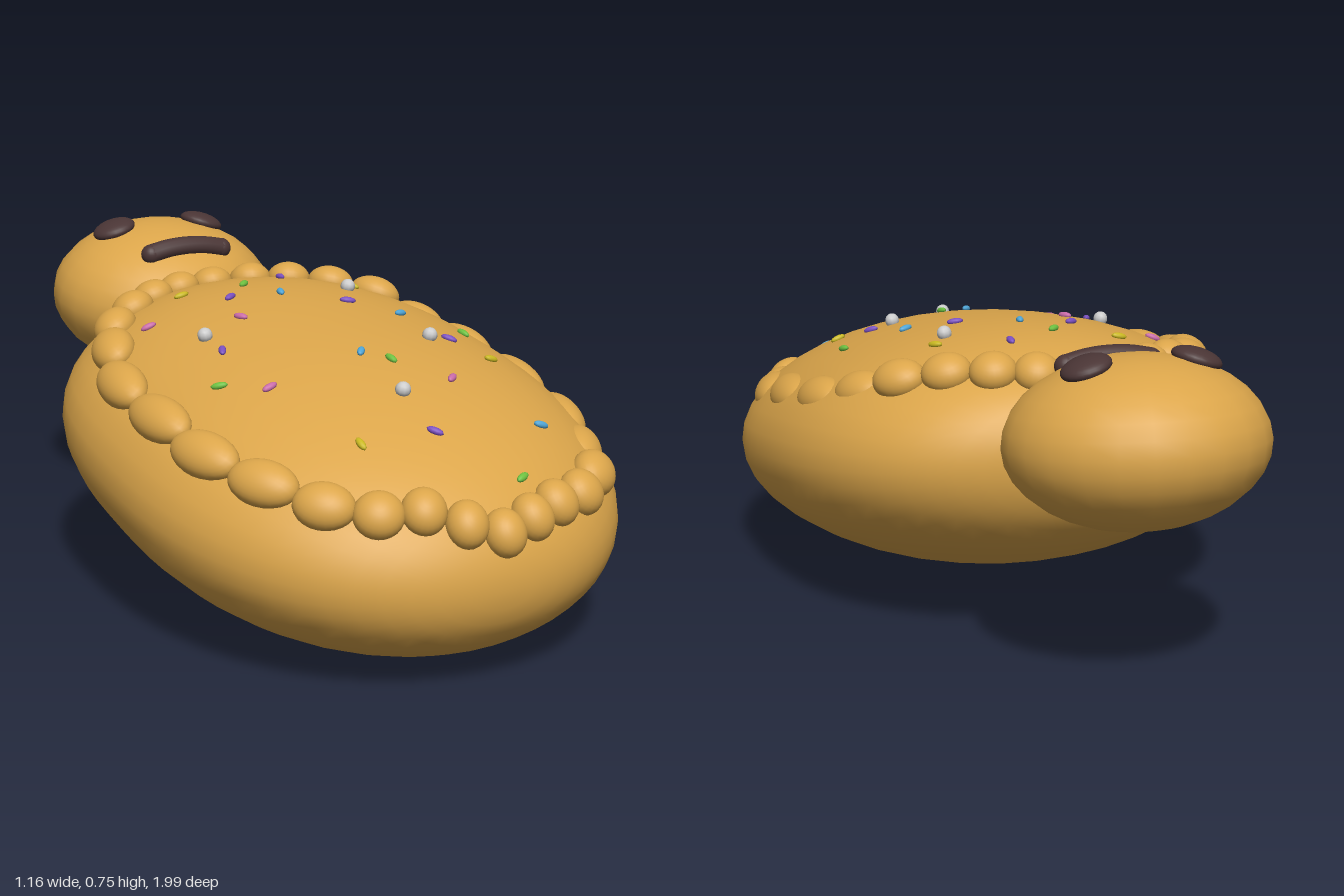
import * as THREE from 'three';
import { mergeVertices } from 'three/addons/utils/BufferGeometryUtils.js';

const mat = (color) => new THREE.MeshStandardMaterial({ color });
const dough = mat(0xdba54a);
const icing = mat(0x4a3535);

// Body: elliptical slices along a sloping z axis, with a full, rounded length profile
const BODY = { z: 0.237, y: 0.335, length: 0.737, width: 0.58, height: 0.31, slope: -0.145 };
const fullness = (t) => {
  const n = t > 0 ? 2.25 : 2.55;
  return Math.pow(Math.max(0, 1 - Math.pow(Math.abs(t), n)), 1 / n);
};
const midY = (z) => BODY.y + BODY.slope * (z - BODY.z);

// Height of the upper body surface, and its normal
function topY(x, z) {
  const f = fullness((z - BODY.z) / BODY.length);
  const s = x / BODY.width;
  return midY(z) + BODY.height * Math.sqrt(Math.max(0, f * f - s * s));
}
function topNormal(x, z) {
  const e = 0.004;
  return new THREE.Vector3(
    (topY(x - e, z) - topY(x + e, z)) / (2 * e), 1,
    (topY(x, z - e) - topY(x, z + e)) / (2 * e)).normalize();
}

// Sets a mesh on the upper surface, its x axis along the given direction
function placeOnBody(mesh, x, z, dirX, dirZ, lift) {
  const n = topNormal(x, z);
  const side = new THREE.Vector3(dirX, 0, dirZ).cross(n).normalize();
  const along = n.clone().cross(side).normalize();
  mesh.quaternion.setFromRotationMatrix(new THREE.Matrix4().makeBasis(along, n, side));
  mesh.position.set(x, topY(x, z), z).addScaledVector(n, lift);
}

function bodyGeometry() {
  let g = new THREE.SphereGeometry(1, 40, 32).rotateX(Math.PI / 2);
  const p = g.attributes.position;
  for (let i = 0; i < p.count; i++) {
    const x = p.getX(i), y = p.getY(i), t = p.getZ(i);
    const r = Math.hypot(x, y);
    const k = r > 1e-5 ? fullness(t) / r : 0;
    const z = BODY.z + BODY.length * t;
    p.setXYZ(i, x * k * BODY.width, midY(z) + y * k * BODY.height, z);
  }
  g.deleteAttribute('uv');
  g.deleteAttribute('normal');
  g = mergeVertices(g, 1e-5);
  g.computeVertexNormals();
  return g;
}

export function createModel() {
  const model = new THREE.Group();
  const ball = new THREE.SphereGeometry(1, 24, 16);
  const add = (parent, name, geometry, material) => {
    const mesh = new THREE.Mesh(geometry, material);
    mesh.name = name;
    parent.add(mesh);
    return mesh;
  };

  add(model, 'body', bodyGeometry(), dough);

  // Head: flattened ball, tilted slightly
  const head = new THREE.Group();
  head.name = 'head';
  head.position.set(-0.02, 0.548, -0.714);
  head.rotation.x = 0.13;
  model.add(head);
  const R = new THREE.Vector3(0.293, 0.191, 0.287);
  add(head, 'skull', ball, dough).scale.copy(R);
  const headY = (x, z) => R.y * Math.sqrt(1 - (x / R.x) ** 2 - (z / R.z) ** 2);

  // Eyes: flat discs lying on the face
  for (const side of [-1, 1]) {
    const x = side * 0.127, z = -0.045;
    const eye = add(head, side > 0 ? 'leftEye' : 'rightEye', ball, icing);
    eye.scale.set(0.057, 0.024, 0.056);
    eye.position.set(x, headY(x, z) + 0.003, z);
    const n = new THREE.Vector3(x, headY(x, z), z).divide(R).divide(R).normalize();
    eye.quaternion.setFromUnitVectors(new THREE.Vector3(0, 1, 0), n);
  }

  // Mouth: rounded bar following the curve of the face
  const mouthPath = new THREE.CatmullRomCurve3([-0.1, -0.05, 0, 0.05, 0.1].map(
    (x) => new THREE.Vector3(x, headY(x, 0.14) + 0.004, 0.14)));
  const mouth = new THREE.Group();
  mouth.name = 'mouth';
  head.add(mouth);
  add(mouth, 'mouthBar', new THREE.TubeGeometry(mouthPath, 16, 0.026, 12), icing);
  for (const t of [0, 1]) {
    const end = add(mouth, 'mouthEnd', ball, icing);
    end.scale.setScalar(0.026);
    end.position.copy(mouthPath.getPoint(t));
  }

  // Piped border: a closed ring of beads [x, z] on the body
  const ring = [
    [-0.02, -0.40], [-0.12, -0.38], [-0.21, -0.34], [-0.29, -0.28], [-0.37, -0.20], [-0.43, -0.07],
    [-0.48, 0.10], [-0.48, 0.31], [-0.46, 0.50], [-0.40, 0.66], [-0.32, 0.78], [-0.23, 0.85],
    [-0.14, 0.88], [-0.06, 0.92], [0.02, 0.94], [0.10, 0.92], [0.18, 0.89], [0.27, 0.85],
    [0.35, 0.78], [0.43, 0.65], [0.49, 0.48], [0.50, 0.26], [0.48, 0.05], [0.42, -0.09],
    [0.35, -0.21], [0.26, -0.28], [0.17, -0.34], [0.08, -0.38]];
  const border = new THREE.Group();
  border.name = 'pipedBorder';
  model.add(border);
  ring.forEach(([x, z], i) => {
    const a = ring[(i + ring.length - 1) % ring.length];
    const b = ring[(i + 1) % ring.length];
    const dx = b[0] - a[0], dz = b[1] - a[1];
    const bead = add(border, 'bead', ball, dough);
    bead.scale.set(Math.max(0.047, 0.27 * Math.hypot(dx, dz)), 0.044, 0.054);
    placeOnBody(bead, x, z, dx, dz, x > 0.4 ? -0.025 : 0.004);
  });

  // Sprinkles: [x, z, colour index]
  const colors = [0x7a4fc0, 0x6cc040, 0xc9b820, 0x4fa6d8, 0xc86aa8].map(mat);
  const sprinkles = [
    [-0.20, -0.19, 2], [-0.05, -0.15, 1], [0.08, -0.21, 0], [0.23, -0.11, 2], [-0.34, -0.07, 4],
    [-0.13, -0.06, 0], [-0.01, -0.03, 3], [-0.17, 0.08, 4], [0.12, 0.07, 0], [0.22, 0.15, 3],
    [-0.28, 0.21, 0], [0.36, 0.21, 1], [-0.35, 0.34, 1], [-0.27, 0.43, 4], [-0.02, 0.39, 3],
    [0.03, 0.44, 1], [0.26, 0.31, 0], [0.32, 0.40, 2], [0.13, 0.54, 4], [-0.19, 0.70, 2],
    [-0.02, 0.72, 0], [0.27, 0.69, 3], [0.12, 0.85, 1]];
  const topping = new THREE.Group();
  topping.name = 'topping';
  model.add(topping);
  const grain = new THREE.SphereGeometry(1, 10, 8);
  sprinkles.forEach(([x, z, c], i) => {
    const sprinkle = add(topping, 'sprinkle', grain, colors[c]);
    sprinkle.scale.set(0.02, 0.008, 0.009);
    placeOnBody(sprinkle, x, z, Math.cos(i * 2.4), Math.sin(i * 2.4), 0.003);
  });

  // Silver sugar pearls
  const silver = mat(0xcccccc);
  for (const [x, z] of [[0.19, -0.06], [-0.28, 0.12], [0.20, 0.32], [-0.02, 0.58]]) {
    const pearl = add(topping, 'sugarPearl', grain, silver);
    pearl.scale.setScalar(0.018);
    placeOnBody(pearl, x, z, 1, 0, 0.008);
  }

  return model;
}
